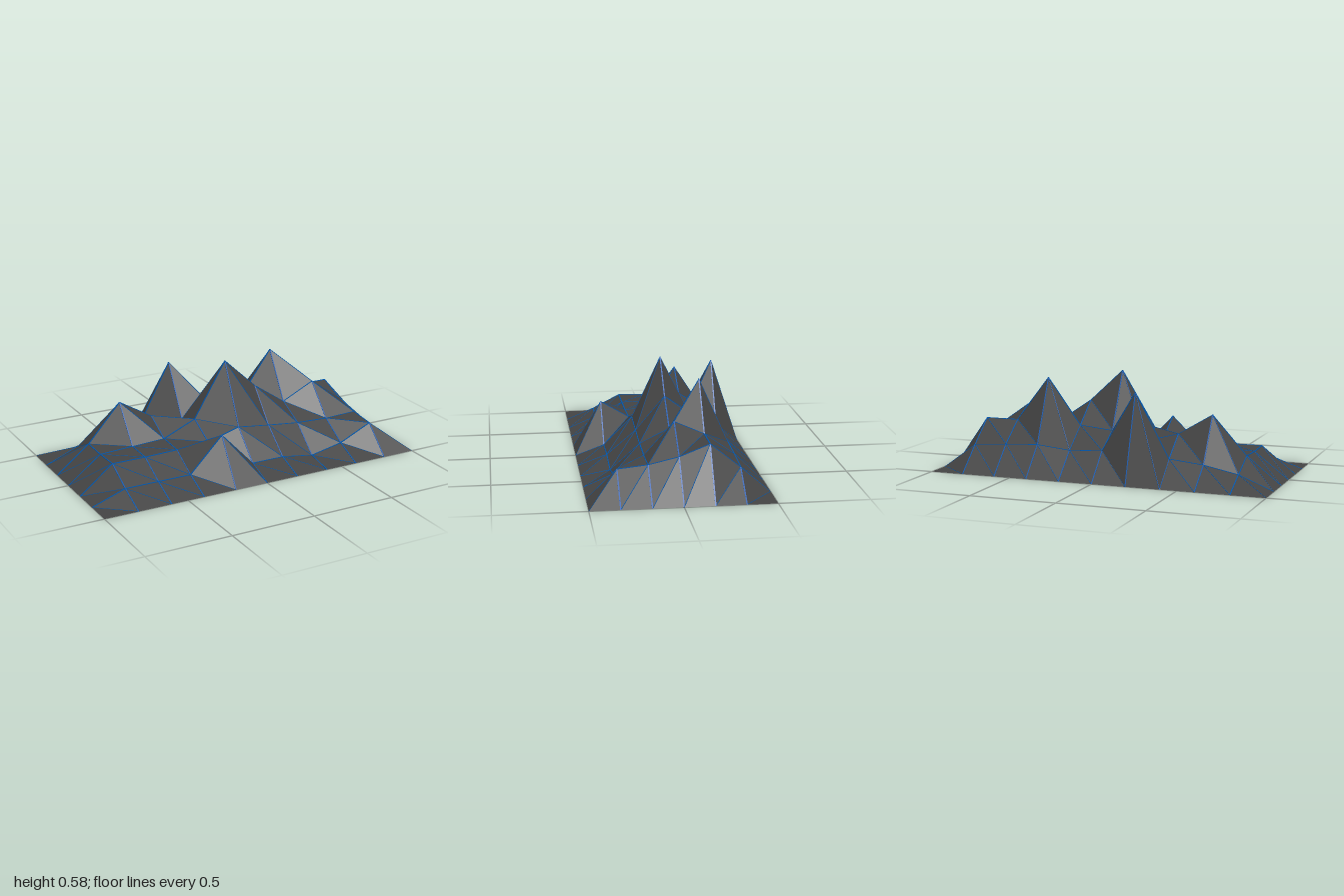
import * as THREE from 'three';
import { mergeGeometries } from 'three/addons/utils/BufferGeometryUtils.js';

const COLS = 10, ROWS = 6;

// Inner grid heights, one row per z from back to front; the rim lies at 0
const HEIGHTS = [
  [0.08, 0.12, 0.14, 0.505, 0.16, 0.15, 0.17, 0.16, 0.145],
  [0.155, 0.375, 0.255, 0.2, 0.25, 0.27, 0.54, 0.28, 0.28],
  [0.15, 0.16, 0.17, 0.255, 0.58, 0.395, 0.26, 0.355, 0.215],
  [0.155, 0.155, 0.16, 0.17, 0.225, 0.2, 0.178, 0.17, 0.177],
  [0.07, 0.07, 0.07, 0.27, 0.06, 0.06, 0.03, 0.07, 0.16],
];

function gridPoint(i, j) {
  const y = HEIGHTS[j - 1]?.[i - 1] ?? 0;
  return new THREE.Vector3(-1 + (2 * i) / COLS, y, -0.5 + j / ROWS);
}

// Open faceted sheet, each cell split from its back left to its front right corner
function terrainGeometry() {
  const points = [];
  for (let j = 0; j < ROWS; j++) {
    for (let i = 0; i < COLS; i++) {
      const a = gridPoint(i, j), b = gridPoint(i + 1, j);
      const c = gridPoint(i, j + 1), d = gridPoint(i + 1, j + 1);
      points.push(a, c, d, a, d, b);
    }
  }
  const geometry = new THREE.BufferGeometry().setFromPoints(points);
  geometry.computeVertexNormals();
  return geometry;
}

// Thin bar that follows one edge of the sheet
function edgeBar(from, to, width) {
  const length = from.distanceTo(to);
  const bar = new THREE.BoxGeometry(width, 0.003, length);
  const pose = new THREE.Object3D();
  pose.position.copy(from).lerp(to, 0.5);
  pose.lookAt(to);
  pose.updateMatrix();
  bar.applyMatrix4(pose.matrix);
  // keep the ends inside the footprint
  const p = bar.attributes.position;
  for (let k = 0; k < p.count; k++) {
    p.setXYZ(k,
      THREE.MathUtils.clamp(p.getX(k), -1, 1),
      Math.max(0, p.getY(k)),
      THREE.MathUtils.clamp(p.getZ(k), -0.5, 0.5));
  }
  return bar;
}

function edgeGeometry() {
  const bars = [];
  for (let j = 0; j < ROWS; j++) {
    for (let i = 0; i < COLS; i++) {
      const a = gridPoint(i, j);
      if (j > 0) bars.push(edgeBar(a, gridPoint(i + 1, j), 0.007));
      if (i > 0) bars.push(edgeBar(a, gridPoint(i, j + 1), 0.006));
      bars.push(edgeBar(a, gridPoint(i + 1, j + 1), 0.003));
    }
  }
  return mergeGeometries(bars);
}

export function createModel() {
  const model = new THREE.Group();
  model.name = 'mountainTerrain';

  const terrain = new THREE.Mesh(terrainGeometry(), new THREE.MeshStandardMaterial({
    color: 0x444444, flatShading: true, side: THREE.DoubleSide,
  }));
  terrain.name = 'terrainSurface';

  const edges = new THREE.Mesh(edgeGeometry(), new THREE.MeshStandardMaterial({ color: 0x0055aa }));
  edges.name = 'gridLines';

  model.add(terrain, edges);
  return model;
}
